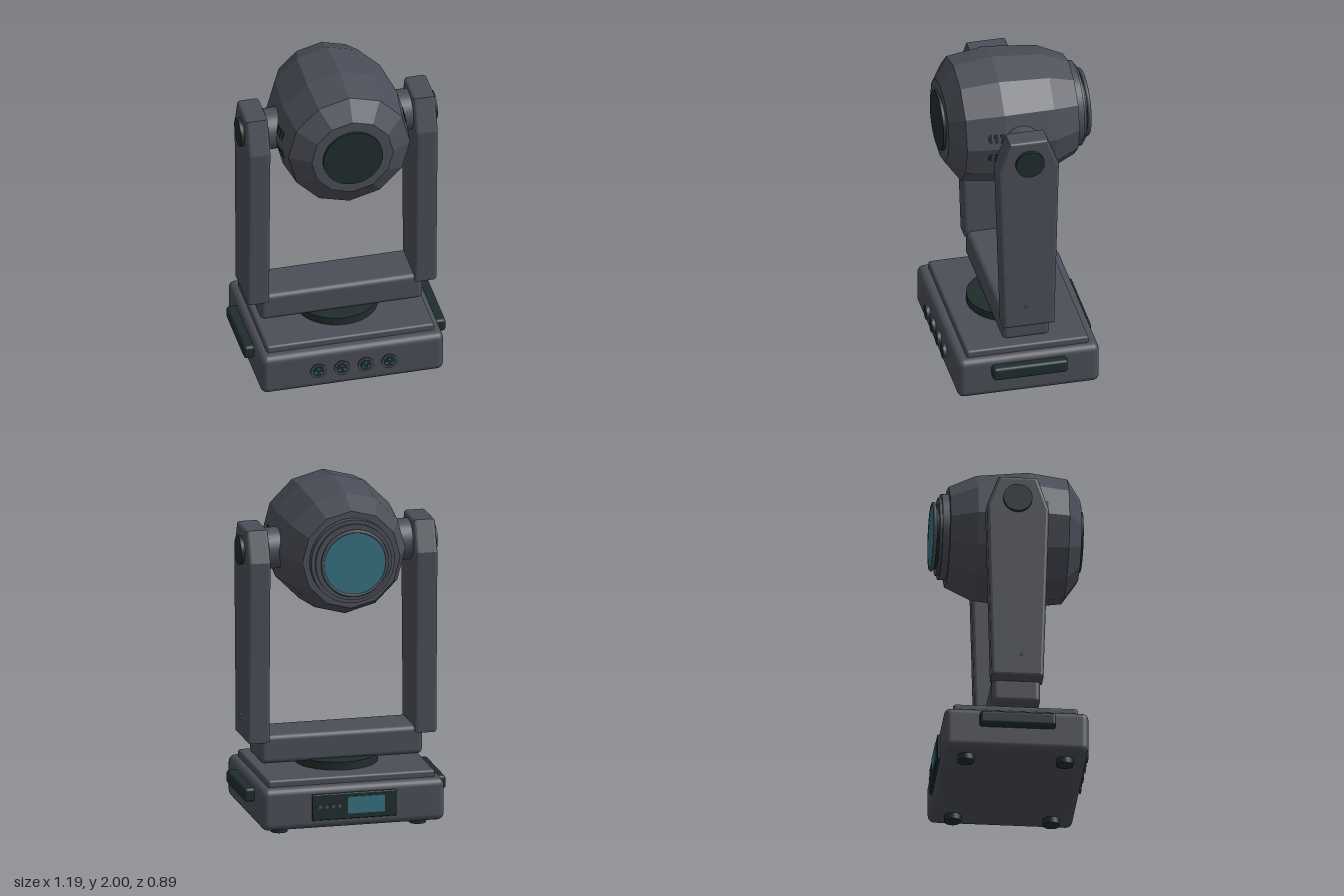
import * as THREE from 'three';
import { RoundedBoxGeometry } from 'three/addons/geometries/RoundedBoxGeometry.js';

const material = (name, color) => {
  const m = new THREE.MeshStandardMaterial({ color });
  m.name = name;
  return m;
};

export function createModel() {
  const model = new THREE.Group();
  model.name = 'movingHeadLight';

  const body = material('greyHousing', 0x4b4e58);
  const facets = material('greyFacets', 0x4b4e58);
  facets.flatShading = true;
  const dark = material('darkTrim', 0x202d2d);
  const glass = material('tealGlass', 0x35707f);
  const accent = material('tealAccent', 0x1f8f86);

  const add = (name, geometry, mat, x = 0, y = 0, z = 0) => {
    const mesh = new THREE.Mesh(geometry, mat);
    mesh.name = name;
    mesh.position.set(x, y, z);
    model.add(mesh);
    return mesh;
  };
  const box = (w, h, d, r) => new RoundedBoxGeometry(w, h, d, 3, r);
  // Cylinder lying along the given axis
  const disc = (r, length, axis = 'y', sides = 32) => {
    const g = new THREE.CylinderGeometry(r, r, length, sides);
    if (axis === 'x') g.rotateZ(Math.PI / 2);
    if (axis === 'z') g.rotateX(Math.PI / 2);
    return g;
  };

  // Base
  add('base', box(1.08, 0.25, 0.835, 0.04), body, 0, 0.16, 0.002);
  add('basePlate', box(0.99, 0.06, 0.72, 0.015), body, 0, 0.295, 0);
  add('turntable', disc(0.24, 0.06), dark, 0, 0.342, 0.003);
  for (const x of [-0.41, 0.41]) {
    for (const z of [-0.28, 0.29]) add('foot', disc(0.05, 0.05), dark, x, 0.025, z);
  }

  // Front sockets with three pins each
  for (const x of [-0.21, -0.07, 0.07, 0.21]) {
    const y = 0.165;
    add('socketBarrel', disc(0.038, 0.03, 'z'), body, x, y, 0.425);
    add('socketFlange', disc(0.046, 0.008, 'z'), body, x, y, 0.438);
    add('socketFace', disc(0.034, 0.003, 'z'), dark, x, y, 0.4425);
    for (let i = 0; i < 3; i++) {
      const a = Math.PI / 2 + (i * Math.PI * 2) / 3;
      add('socketPin', disc(0.006, 0.004, 'z', 10), accent,
        x + 0.018 * Math.cos(a), y + 0.018 * Math.sin(a), 0.4435);
    }
  }

  // Rear control panel
  add('controlPanel', box(0.5, 0.155, 0.03, 0.006), dark, 0, 0.165, -0.415);
  add('displayScreen', new THREE.BoxGeometry(0.22, 0.1, 0.008), glass, -0.07, 0.17, -0.432);
  for (let i = 0; i < 4; i++) {
    add('panelButton', disc(0.012, 0.008, 'z', 12), body, 0.09 + i * 0.038, 0.17, -0.432);
  }

  // Yoke cross bar
  add('yokeBar', box(0.96, 0.17, 0.28, 0.03), body, 0, 0.445, 0.005);

  // Yoke arm outline, drawn in z and y
  const outline = [[0.155, 0.49], [-0.145, 0.49], [-0.172, 1.57],
    [-0.105, 1.75], [0.12, 1.75], [0.188, 1.55]];
  const shape = new THREE.Shape(outline.map(([z, y]) => new THREE.Vector2(z, y)));
  const bevel = 0.018;
  const arm = new THREE.ExtrudeGeometry(shape, {
    depth: 0.132 - 2 * bevel, bevelThickness: bevel, bevelSize: bevel,
    bevelOffset: -bevel, bevelSegments: 3,
  });
  arm.translate(0, 0, -(0.132 - 2 * bevel) / 2);
  arm.rotateY(-Math.PI / 2);

  const headY = 1.61;
  for (const s of [-1, 1]) {
    add('yokeArm', arm, body, s * 0.495, 0, 0);
    add('tiltHub', disc(0.12, 0.13, 'x'), body, s * 0.385, headY, 0.01);
    add('hubCap', disc(0.084, 0.03, 'x'), dark, s * 0.567, headY, 0.005);
    add('statusLight', disc(0.008, 0.012, 'x', 10), accent, s * 0.563, 0.625, 0.025);
    add('carryHandle', box(0.07, 0.08, 0.44, 0.018), dark, s * 0.562, 0.205, 0.005);

    // Cooling slots beside each hub
    for (const v of [-1, 1]) {
      for (const z of [0.12, 0.155, 0.19]) {
        const x = 0.372 - (z - 0.1) * 0.133;
        const slot = add('coolingSlot', new THREE.BoxGeometry(0.009, 0.052, 0.02), dark,
          s * x, headY + v * 0.062, z);
        slot.rotation.z = s * v * Math.PI / 12;
      }
    }
  }

  // Twelve-sided head shell
  const profile = [[0, -0.355], [0.29, -0.355], [0.36, -0.2], [0.39, 0.1],
    [0.36, 0.325], [0.242, 0.406], [0, 0.406]];
  const shell = new THREE.LatheGeometry(profile.map(([r, z]) => new THREE.Vector2(r, z)), 12);
  shell.rotateX(Math.PI / 2);
  add('headShell', shell, facets, 0, headY, 0);
  add('headEndCap', disc(0.176, 0.025, 'z', 40), dark, 0, headY, 0.41);

  // Stepped lens barrel at the rear
  add('lensCollar', disc(0.248, 0.05, 'z', 40), body, 0, headY, -0.371);
  add('lensStep', disc(0.225, 0.03, 'z', 40), body, 0, headY, -0.397);
  add('lensNeck', disc(0.185, 0.03, 'z', 40), dark, 0, headY, -0.418);
  add('lensBezel', new THREE.TorusGeometry(0.19, 0.011, 10, 48), body, 0, headY, -0.436);
  add('lens', disc(0.186, 0.012, 'z', 40), glass, 0, headY, -0.437);

  return model;
}
